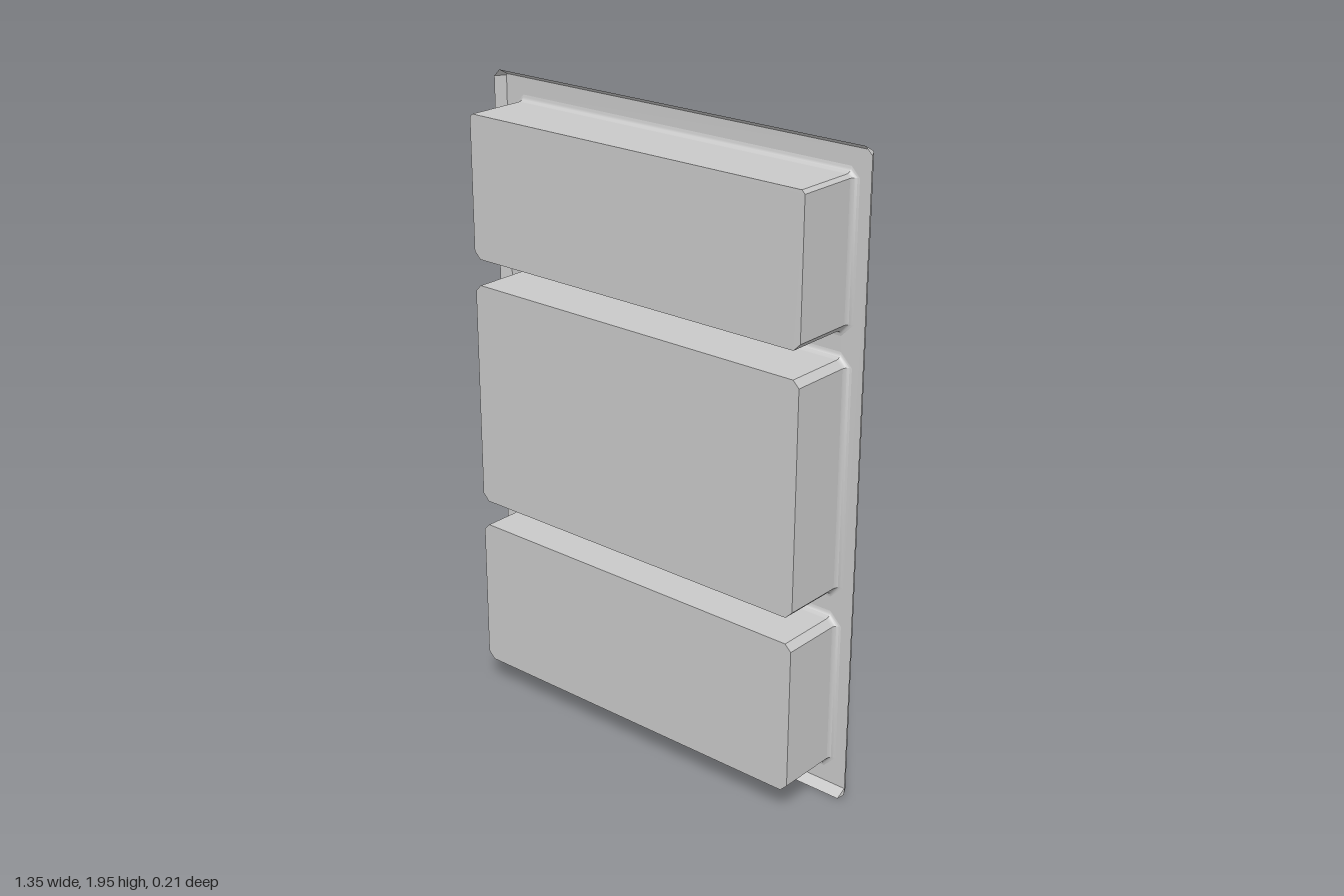
import * as THREE from 'three';
import { toCreasedNormals } from 'three/addons/utils/BufferGeometryUtils.js';

const BACK = -0.105, FRONT = 0.105, LIP = -0.072;
const FILLET = 0.018;

// Counter-clockwise rectangle with cut corners, grown outward by d
function outline({ x0, x1, y0, y1, cutTop, cutBottom }, d = 0) {
  const corners = [
    [x1, y1, cutTop, 0], [x0, y1, cutTop, 1], [x0, y0, cutBottom, 2], [x1, y0, cutBottom, 3],
  ];
  const points = [];
  for (const [x, y, cut, quarter] of corners) {
    const cx = x - Math.sign(x) * cut;
    const cy = quarter < 2 ? y - cut : y + cut;
    for (let i = 0; i <= 1; i++) {
      const a = (quarter + i) * Math.PI / 2;
      points.push(new THREE.Vector2(cx + Math.cos(a) * (cut + d), cy + Math.sin(a) * (cut + d)));
    }
  }
  return points;
}

// Skin through a row of rings, each { points, z }
function loft(rings) {
  const n = rings[0].points.length;
  const positions = [], index = [];
  rings.forEach(({ points, z }, j) => {
    for (const p of points) positions.push(p.x, p.y, z);
    if (j === 0) return;
    for (let i = 0; i < n; i++) {
      const a = (j - 1) * n + i, b = (j - 1) * n + (i + 1) % n;
      index.push(a, b, b + n, a, b + n, a + n);
    }
  });
  const geometry = new THREE.BufferGeometry();
  geometry.setAttribute('position', new THREE.Float32BufferAttribute(positions, 3));
  geometry.setIndex(index);
  return toCreasedNormals(geometry, 0.6);
}

export function createModel() {
  const group = new THREE.Group();
  const grey = new THREE.MeshStandardMaterial({ color: 0xc8c8c8, side: THREE.DoubleSide });
  grey.name = 'lightGrey';

  const add = (parent, name, geometry, z = 0) => {
    const mesh = new THREE.Mesh(geometry, grey);
    mesh.name = name;
    mesh.position.z = z;
    parent.add(mesh);
  };

  // Three recessed compartments, open at the back
  const compartments = [
    ['upperCompartment', 1.479, 1.912, 0.01],
    ['middleCompartment', 0.696, 1.398, 0.02],
    ['lowerCompartment', 0.14, 0.615, 0.02],
  ].map(([name, y0, y1, cutTop]) => ({
    name, rect: { x0: -0.598, x1: 0.598, y0, y1, cutTop, cutBottom: 0.022 },
  }));

  // Flange plate with an opening for each compartment
  const plate = { x0: -0.656, x1: 0.656, y0: 0.073, y1: 1.982, cutTop: 0.004, cutBottom: 0.004 };
  const flange = new THREE.Shape(outline(plate));
  for (const { rect } of compartments) flange.holes.push(new THREE.Path(outline(rect, FILLET)));
  add(group, 'flange', new THREE.ShapeGeometry(flange), BACK);

  // Rim flaring forward and outward from the plate
  add(group, 'rim', loft([
    { points: outline(plate), z: BACK },
    { points: outline(plate, 0.018), z: LIP },
  ]));

  for (const { name, rect } of compartments) {
    const box = new THREE.Group();
    box.name = name;
    group.add(box);

    // Rolled edge where the walls meet the flange
    const rings = [];
    for (let i = 0; i <= 4; i++) {
      const a = i / 4 * Math.PI / 2;
      rings.push({
        points: outline(rect, FILLET * (1 - Math.sin(a))),
        z: BACK + FILLET * (1 - Math.cos(a)),
      });
    }
    add(box, name + 'Edge', loft(rings));

    // Flat walls and the closed panel at the front
    const points = outline(rect);
    add(box, name + 'Walls', loft([{ points, z: BACK + FILLET }, { points, z: FRONT }]));
    add(box, name + 'Panel', new THREE.ShapeGeometry(new THREE.Shape(points)), FRONT);
  }
  return group;
}
